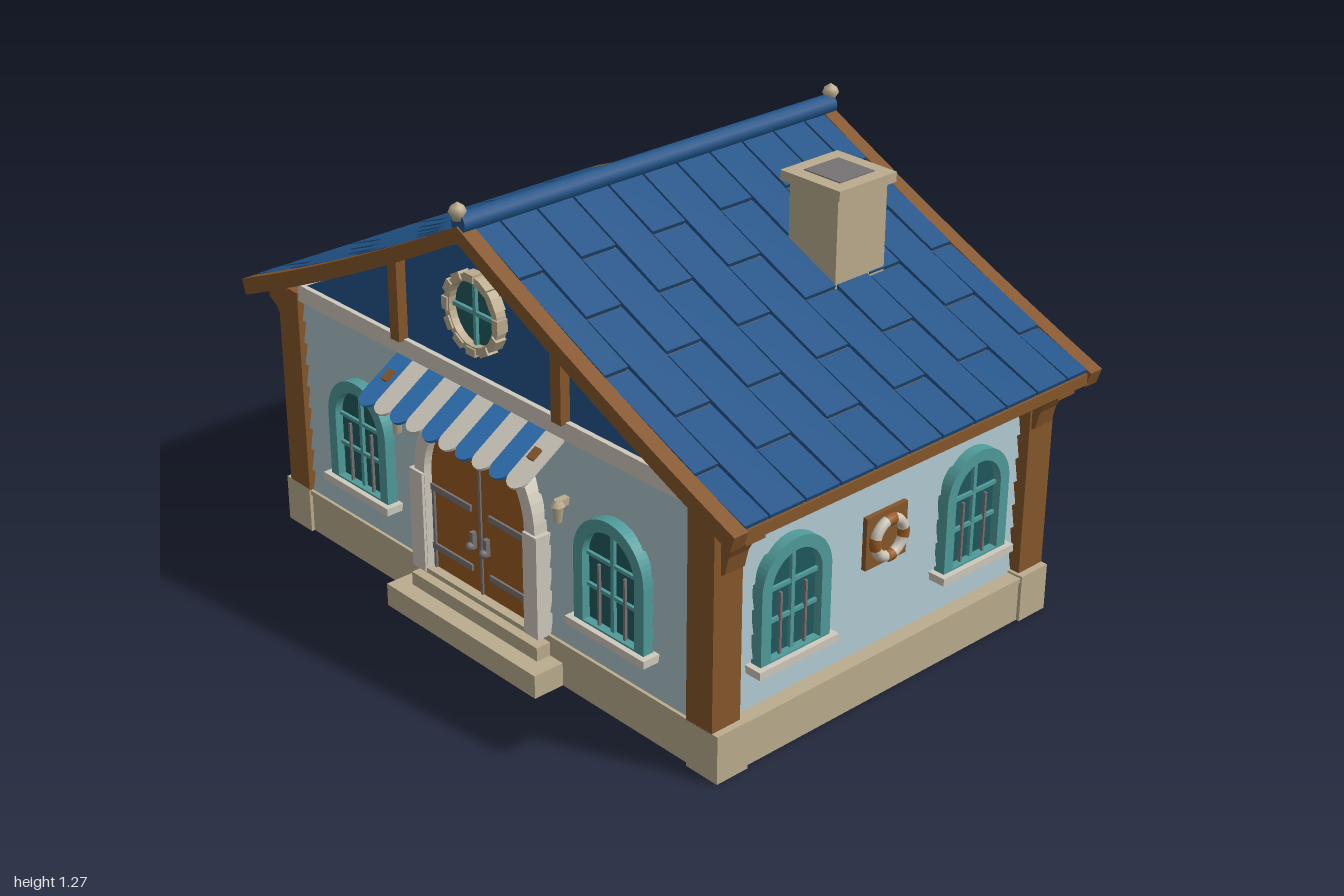
import * as THREE from 'three';

const mat = (name, color) => {
  const m = new THREE.MeshStandardMaterial({ color });
  m.name = name;
  return m;
};

export function createModel() {
  const roofBlue = mat('roof blue', 0x215488), wood = mat('brown wood', 0x85562b), doorWood = mat('door wood', 0x97591f);
  const stone = mat('sand stone', 0xbbac8e), siding = mat('pale blue siding', 0xa8c0c7), teal = mat('teal frame', 0x4f9b9a);
  const glass = mat('dark glass', 0x20585d), trim = mat('off white trim', 0xcfc9bc), iron = mat('grey iron', 0x777274);
  const stripeBlue = mat('awning blue', 0x2e70b2);

  const root = new THREE.Group();
  root.name = 'house';
  const house = new THREE.Group();
  house.name = 'building';
  house.position.z = -0.035;
  root.add(house);

  const add = (parent, name, geo, material, x = 0, y = 0, z = 0) => {
    const m = new THREE.Mesh(geo, material);
    m.name = name;
    m.position.set(x, y, z);
    parent.add(m);
    return m;
  };
  const box = (parent, name, material, w, h, d, x, y, z) =>
    add(parent, name, new THREE.BoxGeometry(w, h, d), material, x, y, z);
  const extrude = (shape, depth) => new THREE.ExtrudeGeometry(shape, { depth, bevelEnabled: false, curveSegments: 14 });
  const poly = pts => new THREE.Shape(pts.map(p => new THREE.Vector2(p[0], p[1])));
  const arch = (w, y0, yc, S = THREE.Shape) => {
    const s = new S();
    s.moveTo(-w, y0);
    s.lineTo(w, y0);
    s.lineTo(w, yc);
    s.absarc(0, yc, w, 0, Math.PI, false);
    s.lineTo(-w, y0);
    return s;
  };

  // Foundation, corner blocks, corner posts and eave brackets
  box(house, 'foundation', stone, 1.79, 0.118, 1.22, 0, 0.059, 0);
  box(house, 'foundationLedge', stone, 1.8, 0.014, 1.23, 0, 0.125, 0);
  const bracket = poly([[0, 0.57], [0.018, 0.58], [0.03, 0.63], [0.05, 0.665], [0.085, 0.685], [0.085, 0.73], [0, 0.75]]);
  for (const sx of [-1, 1]) for (const sz of [-1, 1]) {
    box(house, 'cornerBlock', stone, 0.11, 0.138, 0.105, sx * 0.85, 0.069, sz * 0.5675);
    box(house, 'cornerPost', wood, 0.092, 0.62, 0.095, sx * 0.839, 0.445, sz * 0.5725);
    const b = add(house, 'eaveBracket', extrude(bracket, 0.066), wood, sx * 0.88, 0, sz * 0.565 - sx * 0.033);
    if (sx < 0) b.rotation.y = Math.PI;
  }

  // Front steps
  box(house, 'lowerStep', stone, 0.63, 0.068, 0.14, 0, 0.034, 0.635);
  box(house, 'upperStep', stone, 0.53, 0.04, 0.1, 0, 0.088, 0.605);

  // A facade is a group whose own +z points outwards from the wall plane
  const facade = (name, angle, dist) => {
    const g = new THREE.Group();
    g.name = name;
    g.rotation.y = angle;
    g.position.set(Math.sin(angle) * dist, 0, Math.cos(angle) * dist);
    house.add(g);
    return g;
  };
  const clapboards = (g, length, top) => {
    const n = 9, h = (top - 0.13) / n, pts = [[-0.05, 0.13]];
    for (let i = 0; i < n; i++) pts.push([0.006, 0.13 + i * h], [-0.006, 0.13 + (i + 1) * h]);
    pts.push([-0.05, top]);
    const m = add(g, 'clapboardWall', extrude(poly(pts), length), siding, length / 2, 0, 0);
    m.rotation.y = -Math.PI / 2;
  };
  const archWindow = (g, x, w) => {
    const win = new THREE.Group();
    win.name = 'archedWindow';
    win.position.x = x;
    g.add(win);
    const yc = 0.578 - w, inner = w - 0.034;
    const frame = arch(w, 0.25, yc);
    frame.holes.push(arch(inner, 0.26, yc, THREE.Path));
    add(win, 'windowFrame', extrude(frame, 0.034), teal);
    add(win, 'windowGlass', extrude(arch(inner + 0.004, 0.255, yc), 0.004), glass, 0, 0, 0.006);
    box(win, 'windowMullion', teal, 0.012, 0.28, 0.012, 0, 0.395, 0.014);
    for (const y of [0.36, 0.45]) box(win, 'windowBar', teal, inner * 2, 0.01, 0.01, 0, y, 0.014);
    for (const s of [-1, 1]) box(win, 'windowRod', iron, 0.007, 0.18, 0.008, s * inner * 0.5, 0.345, 0.02);
    box(win, 'windowSill', trim, w * 2 + 0.035, 0.022, 0.055, 0, 0.244, 0.0225);
  };

  // Gable end: blue triangle, trim board, uprights and round window
  const gable = g => {
    add(g, 'gablePanel', extrude(poly([[-0.79, 0.77], [0.79, 0.77], [0, 1.16]]), 0.02), roofBlue, 0, 0, -0.02);
    box(g, 'gableTrim', trim, 1.59, 0.05, 0.045, 0, 0.755, -0.0075);
    for (const s of [-1, 1]) box(g, 'gableUpright', wood, 0.038, 0.25, 0.03, s * 0.328, 0.9, 0.015);
    const ring = new THREE.Shape();
    ring.absarc(0, 0, 0.108, 0, Math.PI * 2, false);
    const hole = new THREE.Path();
    hole.absarc(0, 0, 0.088, 0, Math.PI * 2, true);
    ring.holes.push(hole);
    add(g, 'roundWindowFrame', extrude(ring, 0.03), stone, 0, 0.96, 0);
    for (let i = 0; i < 12; i++) {
      const a = i * Math.PI / 6;
      const s = box(g, 'roundWindowStone', stone, 0.022, 0.036, 0.034, Math.cos(a) * 0.102, 0.96 + Math.sin(a) * 0.102, 0.018);
      s.rotation.z = a;
    }
    add(g, 'roundWindowGlass', new THREE.CircleGeometry(0.09, 28), glass, 0, 0.96, 0.008);
    box(g, 'roundWindowBar', teal, 0.176, 0.011, 0.01, 0, 0.96, 0.013);
    box(g, 'roundWindowBar', teal, 0.011, 0.176, 0.01, 0, 0.96, 0.013);
  };

  const front = facade('frontFacade', 0, 0.6), back = facade('backFacade', Math.PI, 0.6);
  for (const g of [front, back]) {
    clapboards(g, 1.64, 0.735);
    gable(g);
  }
  for (const x of [-0.522, 0.522]) archWindow(front, x, 0.131);
  for (const x of [-0.465, 0, 0.465]) archWindow(back, x, 0.131);

  // Sides with two windows and a lifebuoy plaque
  for (const s of [-1, 1]) {
    const g = facade('sideFacade', s * Math.PI / 2, 0.85);
    clapboards(g, 1.1, 0.76);
    for (const x of [-0.335, 0.335]) archWindow(g, x, 0.121);
    box(g, 'lifebuoyPlaque', wood, 0.15, 0.15, 0.014, 0, 0.447, 0.012);
    add(g, 'lifebuoy', new THREE.TorusGeometry(0.052, 0.015, 8, 28), trim, 0, 0.447, 0.028);
    for (let i = 0; i < 4; i++) {
      const band = add(g, 'lifebuoyBand', new THREE.TorusGeometry(0.052, 0.0165, 8, 6, 0.55), doorWood, 0, 0.447, 0.028);
      band.rotation.z = i * Math.PI / 2 - 0.275;
    }
  }

  // Doorway, double door and ironwork
  const surround = arch(0.25, 0.13, 0.43);
  surround.holes.push(arch(0.208, 0.13, 0.43, THREE.Path));
  add(front, 'doorSurround', extrude(surround, 0.042), trim);
  for (const s of [-1, 1]) {
    box(front, 'doorJamb', trim, 0.055, 0.3, 0.05, s * 0.237, 0.28, 0.025);
    for (const y of [0.205, 0.385]) box(front, 'doorStrap', iron, 0.17, 0.018, 0.008, s * 0.122, y, 0.02);
    box(front, 'doorEdge', iron, 0.008, 0.25, 0.008, s * 0.198, 0.26, 0.02);
    box(front, 'doorHandle', iron, 0.014, 0.05, 0.014, s * 0.028, 0.295, 0.024);
    add(front, 'doorKnob', new THREE.SphereGeometry(0.012, 10, 8), iron, s * 0.028, 0.28, 0.036);
  }
  add(front, 'door', extrude(arch(0.21, 0.13, 0.43), 0.012), doorWood, 0, 0, 0.005);
  box(front, 'doorSeam', iron, 0.009, 0.5, 0.008, 0, 0.385, 0.018);
  box(front, 'doorThreshold', stone, 0.52, 0.014, 0.05, 0, 0.133, 0.02);

  // Wall lanterns
  for (const s of [-1, 1]) {
    const x = s * 0.332;
    box(front, 'lanternArm', stone, 0.02, 0.02, 0.04, x, 0.555, 0.015);
    add(front, 'lanternBody', new THREE.CylinderGeometry(0.016, 0.011, 0.045, 6), stone, x, 0.525, 0.032);
    add(front, 'lanternCap', new THREE.CylinderGeometry(0.01, 0.021, 0.018, 6), stone, x, 0.557, 0.032);
  }

  // Striped awning with rounded hem
  const awning = new THREE.Group();
  awning.name = 'awning';
  awning.position.set(0, 0.725, 0.012);
  awning.rotation.x = -1.0;
  front.add(awning);
  const strip = new THREE.Shape();
  strip.moveTo(-0.034, 0);
  strip.lineTo(-0.034, -0.14);
  strip.absarc(0, -0.14, 0.034, Math.PI, Math.PI * 2, false);
  strip.lineTo(0.034, 0);
  for (let i = 0; i < 10; i++)
    add(awning, 'awningStripe', extrude(strip, 0.008), i % 2 ? trim : stripeBlue, -0.306 + i * 0.068, 0, 0);
  for (const s of [-1, 1]) {
    box(awning, 'awningArm', wood, 0.022, 0.13, 0.014, s * 0.3, -0.065, -0.008);
    box(awning, 'awningArmTip', wood, 0.022, 0.035, 0.02, s * 0.3, -0.07, 0.008);
  }

  // Gently sagging roof line
  const roofY = x => {
    const t = Math.min(Math.abs(x), 1);
    return 1.208 - 0.463 * t - 0.06 * t * (1 - t);
  };
  const roofBand = (half, up, down) => {
    const top = [], bottom = [];
    for (let i = -8; i <= 8; i++) {
      const x = i / 8 * half;
      top.push([x, roofY(x) - up]);
      bottom.unshift([x * 0.985, roofY(x) - down]);
    }
    return poly([...top, ...bottom]);
  };
  add(house, 'roofDeck', extrude(roofBand(0.985, 0.016, 0.036), 1.26), wood, 0, 0, -0.63);
  for (const z of [-0.665, 0.62]) add(house, 'bargeBoard', extrude(roofBand(0.997, 0, 0.044), 0.045), wood, 0, 0, z);
  for (const s of [-1, 1]) box(house, 'eaveBoard', wood, 0.022, 0.032, 1.25, s * 0.975, 0.726, 0);

  // Staggered roof tiles in columns running down the slope
  for (const s of [-1, 1]) for (let k = -5; k <= 5; k++) {
    const edge = Math.abs(k) === 5;
    const z = edge ? Math.sign(k) * 0.581 : k * 0.12, width = edge ? 0.076 : 0.113;
    const joints = k % 2 ? [0.01, 0.185, 0.5, 0.815, 0.985] : [0.01, 0.34, 0.66, 0.985];
    for (let i = 0; i + 1 < joints.length; i++) {
      const a = joints[i], b = joints[i + 1] - 0.004;
      const ya = roofY(a) - 0.011, yb = roofY(b) - 0.005;
      const tile = box(house, 'roofTile', roofBlue, Math.hypot(b - a, ya - yb), 0.014, width, s * (a + b) / 2, (ya + yb) / 2, z);
      tile.rotation.z = s * Math.atan2(yb - ya, b - a);
    }
  }

  // Ridge roll and finials
  const ridge = add(house, 'ridgeRoll', new THREE.CylinderGeometry(0.028, 0.028, 1.32, 12), roofBlue, 0, 1.215, 0);
  ridge.rotation.x = Math.PI / 2;
  const finial = [[0, 0], [0.014, 0], [0.016, 0.01], [0.024, 0.022], [0.018, 0.036], [0, 0.048]].map(p => new THREE.Vector2(...p));
  for (const s of [-1, 1]) add(house, 'finial', new THREE.LatheGeometry(finial, 10), stone, 0, 1.226, s * 0.66);

  // Chimney
  box(house, 'chimneyStack', stone, 0.172, 0.3, 0.183, 0.41, 1.06, -0.2675);
  box(house, 'chimneyCap', stone, 0.212, 0.028, 0.212, 0.408, 1.218, -0.2675);
  box(house, 'chimneyFlue', iron, 0.128, 0.006, 0.128, 0.41, 1.232, -0.2675);

  return root;
}
